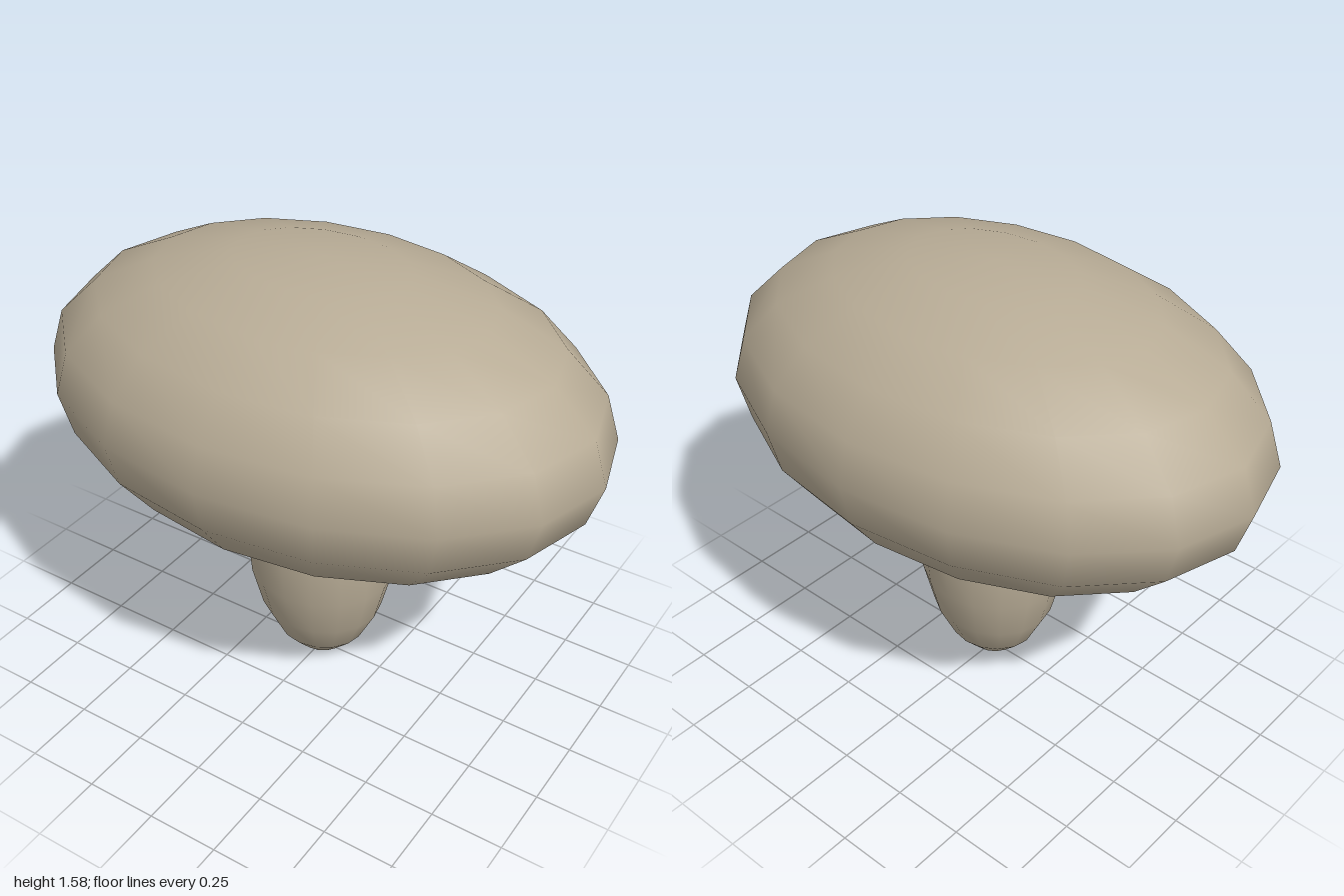
import * as THREE from 'three';

const stone = new THREE.MeshStandardMaterial({ color: 0xb8ac96 });
stone.name = 'warmGreyBeige';

// Smooth low-poly ellipsoid with its centre at height y
function ellipsoid(name, rx, ry, rz, y) {
  const geometry = new THREE.SphereGeometry(1, 16, 10);
  geometry.scale(rx, ry, rz);
  const mesh = new THREE.Mesh(geometry, stone);
  mesh.name = name;
  mesh.position.y = y;
  return mesh;
}

export function createModel() {
  const group = new THREE.Group();
  group.name = 'mushroom';
  // Broad oval cap
  group.add(ellipsoid('cap', 1, 0.49, 0.69, 1.085));
  // Tall stem, its upper half sunk into the cap
  group.add(ellipsoid('stem', 0.272, 0.535, 0.248, 0.54));
  // Rest the stem's tip on the ground
  group.children[1].position.y = 0.535;
  return group;
}
